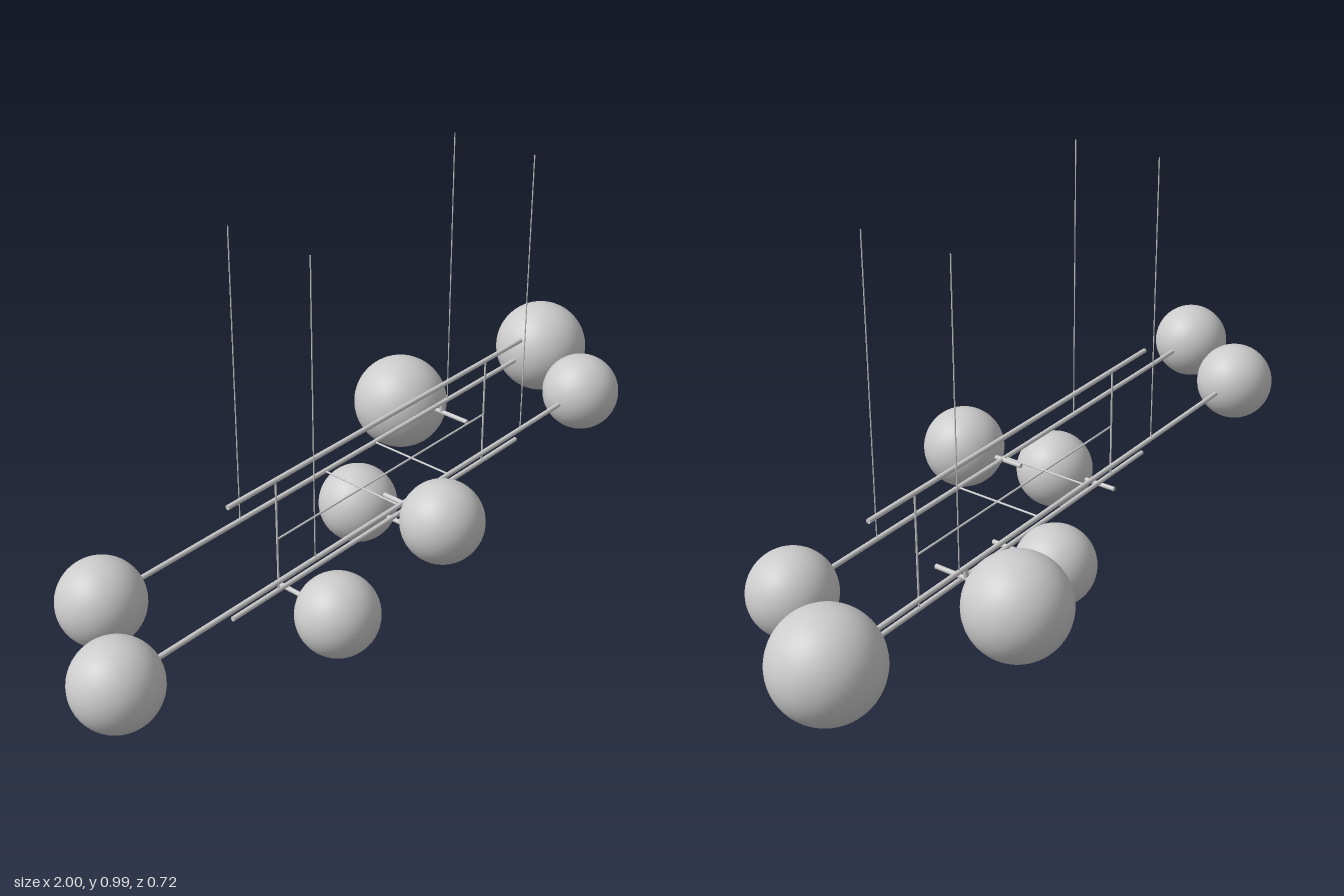
import * as THREE from 'three';

const material = new THREE.MeshStandardMaterial({ color: 0xcccccc });

// Main heights and depths of the frame
const ARM_Y = 0.258, TOP_Y = 0.415, LOW_Y = 0.118;
const FRONT_Z = 0.139, MID_Z = 0.022, BACK_Z = -0.097;
const LEFT_X = 0.455, RIGHT_X = -0.315;

export function createModel() {
  const model = new THREE.Group();
  model.name = 'pendantLamp';

  // Round bar between two points
  const bar = (name, from, to, radius) => {
    const a = new THREE.Vector3(...from), b = new THREE.Vector3(...to);
    const dir = b.clone().sub(a);
    const mesh = new THREE.Mesh(new THREE.CylinderGeometry(radius, radius, dir.length(), 16), material);
    mesh.name = name;
    mesh.position.copy(a).add(b).multiplyScalar(0.5);
    mesh.quaternion.setFromUnitVectors(new THREE.Vector3(0, 1, 0), dir.normalize());
    model.add(mesh);
  };

  const globe = (name, x, y, z, radius) => {
    const mesh = new THREE.Mesh(new THREE.SphereGeometry(radius, 48, 32), material);
    mesh.name = name;
    mesh.position.set(x, y, z);
    model.add(mesh);
  };

  // Long rods
  const ROD = 0.006;
  bar('frontRod', [-0.81, ARM_Y, FRONT_Z], [0.635, ARM_Y, FRONT_Z], ROD);
  bar('backRod', [-0.645, ARM_Y, BACK_Z], [0.76, ARM_Y, BACK_Z], ROD);
  bar('upperRod', [-0.465, TOP_Y, MID_Z], [0.605, TOP_Y, MID_Z], ROD);
  bar('lowerRod', [-0.465, LOW_Y, MID_Z], [0.605, LOW_Y, MID_Z], ROD);

  // Thin connecting frame
  for (const x of [RIGHT_X, LEFT_X]) bar('frameUpright', [x, LOW_Y, MID_Z], [x, TOP_Y, MID_Z], 0.0025);
  bar('frameRail', [RIGHT_X, ARM_Y, MID_Z], [LEFT_X, ARM_Y, MID_Z], 0.0025);
  for (const x of [-0.023, 0.163]) bar('crossBar', [x, ARM_Y, BACK_Z], [x, ARM_Y, FRONT_Z], 0.0025);

  // Suspension wires
  for (const x of [RIGHT_X, LEFT_X])
    for (const z of [FRONT_Z, BACK_Z]) bar('suspensionWire', [x, ARM_Y, z], [x, 0.993, z], 0.0015);

  // Globes on the rod ends
  globe('frontRightGlobe', -0.9, ARM_Y, FRONT_Z, 0.1);
  globe('frontLeftGlobe', 0.725, ARM_Y, FRONT_Z, 0.1);
  globe('backRightGlobe', -0.735, ARM_Y, BACK_Z, 0.1);
  globe('backLeftGlobe', 0.875, ARM_Y, BACK_Z, 0.124);

  // Globes on short stems crossing the rods: [x, y, z, radius, stemY, stemStartZ]
  for (const [x, y, z, r, stemY, startZ] of [
    [-0.01, ARM_Y, 0.258, 0.1, ARM_Y, 0.082],
    [-0.28, 0.103, 0.174, 0.1, 0.102, -0.014],
    [0.107, 0.103, -0.104, 0.1, 0.102, 0.08],
    [0.433, 0.213, -0.238, 0.124, 0.231, -0.013],
  ]) {
    globe('stemGlobe', x, y, z, r);
    bar('globeStem', [x, stemY, startZ], [x, stemY, z - Math.sign(z) * (r - 0.015)], ROD);
  }

  // Link from the lowered back stem up to its rod
  bar('stemLink', [0.433, 0.231, BACK_Z], [0.433, ARM_Y, BACK_Z], ROD);

  return model;
}
